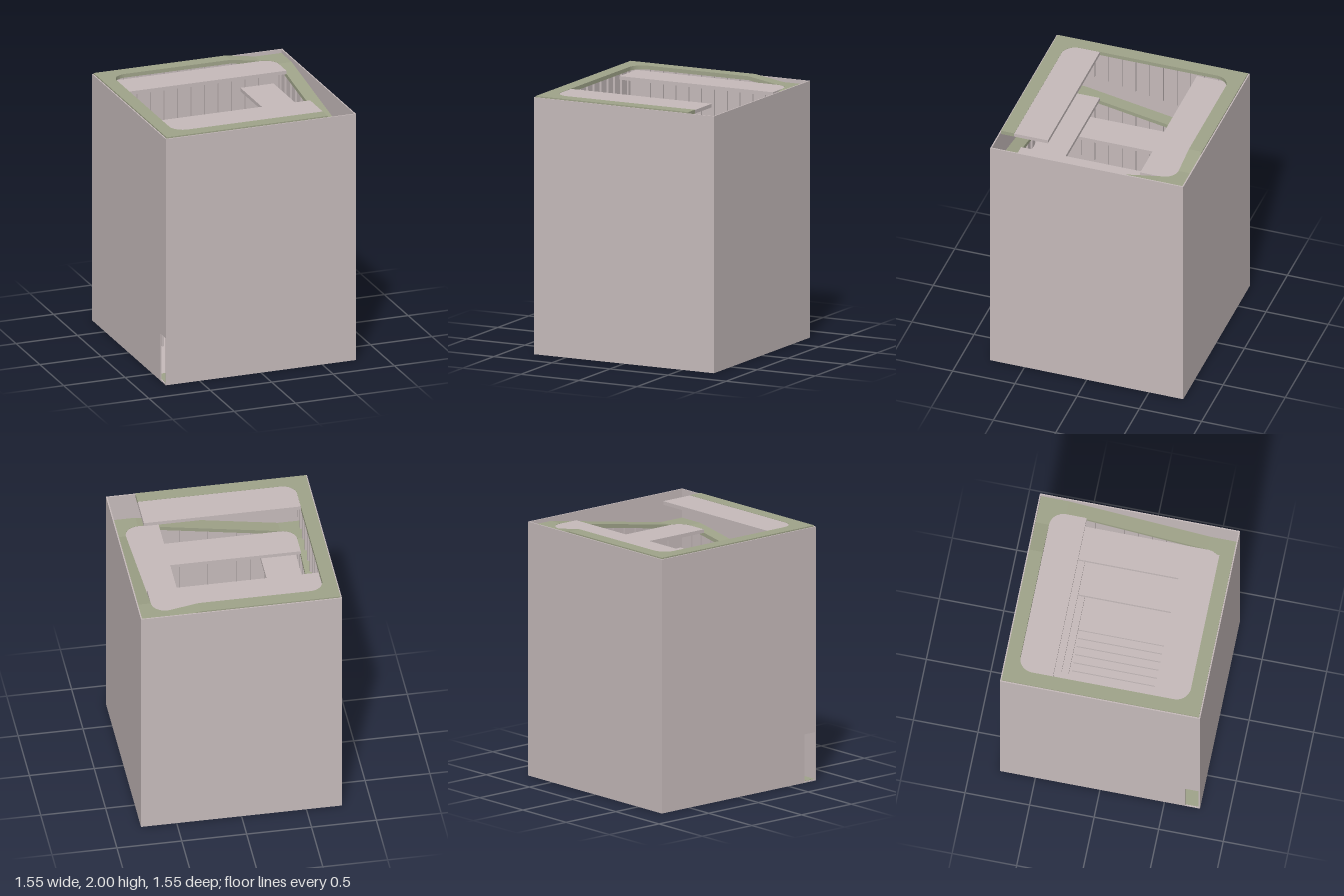
import * as THREE from 'three';

const OUT = 0.765, IN = 0.66, CORE = 0.39, BEND = 0.55;
const RISE = 0.195, THICK = 0.03, TOP = 2;
const level = (k) => 0.01 + RISE * k;

export function createModel() {
  const model = new THREE.Group();
  const stone = new THREE.MeshStandardMaterial({ color: 0xc5baba });
  stone.name = 'pale stone';
  const green = new THREE.MeshStandardMaterial({ color: 0x9fa389 });
  green.name = 'path green';

  const add = (parent, name, geo, mat) => {
    const mesh = new THREE.Mesh(geo, mat);
    mesh.name = name;
    parent.add(mesh);
    return mesh;
  };
  // box given by its minimum and maximum corners
  const box = (parent, name, mat, x0, x1, y0, y1, z0, z1) => {
    const mesh = add(parent, name, new THREE.BoxGeometry(x1 - x0, y1 - y0, z1 - z0), mat);
    mesh.position.set((x0 + x1) / 2, (y0 + y1) / 2, (z0 + z1) / 2);
    return mesh;
  };
  // flat plate from a plan outline, with its upper face at y
  const plate = (parent, name, shape, y, depth) => {
    const geo = new THREE.ExtrudeGeometry(shape, { depth, bevelEnabled: false, curveSegments: 8 });
    geo.rotateX(Math.PI / 2);
    add(parent, name, geo, green).position.y = y;
  };
  // sloping strip along the wall
  const slope = (parent, u0, y0, u1, y1) => {
    const shape = new THREE.Shape([
      new THREE.Vector2(u0, Math.max(0.001, y0 - THICK)),
      new THREE.Vector2(u1, y1 - THICK),
      new THREE.Vector2(u1, y1),
      new THREE.Vector2(u0, y0),
    ]);
    const geo = new THREE.ExtrudeGeometry(shape, { depth: OUT - IN, bevelEnabled: false });
    geo.translate(0, 0, IN);
    add(parent, 'ramp', geo, green);
  };

  // outer shell, with a low doorway at the front end of the -x wall
  const W = 0.775, H = 1.99, DOOR = 0.38;
  box(model, 'groundFloor', stone, -W, W, 0, 0.01, -W, W);
  box(model, 'frontWall', stone, -W, W, 0, H, OUT, W);
  box(model, 'backWall', stone, -W, W, 0, H, -W, -OUT);
  box(model, 'rightWall', stone, OUT, W, 0, H, -OUT, OUT);
  box(model, 'leftWall', stone, -W, -OUT, 0, H, -OUT, IN);
  box(model, 'leftWallAboveDoor', stone, -W, -OUT, DOOR, H, IN, OUT);

  // corner landing outline, rounded on its inner side
  const corner = new THREE.Shape();
  corner.moveTo(BEND, IN);
  corner.lineTo(BEND, OUT);
  corner.lineTo(OUT, OUT);
  corner.lineTo(OUT, BEND);
  corner.lineTo(IN, BEND);
  corner.absarc(BEND, BEND, IN - BEND, 0, Math.PI / 2, false);

  // square spiral: each side is the front side turned a further quarter
  const postGeo = new THREE.BoxGeometry(0.016, 1, 0.016);
  for (let k = 0; k <= 11; k++) {
    const side = new THREE.Group();
    side.name = 'spiralSide';
    side.rotation.y = k * Math.PI / 2;
    model.add(side);
    const y0 = level(k);

    if (k < 10) {
      slope(side, -BEND, y0, BEND, level(k + 1));
      plate(side, 'cornerLanding', corner, level(k + 1), THICK);
    } else if (k === 10) {
      slope(side, -BEND, y0, -0.31, TOP);
    }
    // level floor beside the ramp
    if (k > 0 && k < 11) {
      box(side, 'innerFloor', stone, -IN, IN, y0 - THICK, y0 - 0.002, CORE, IN);
    }
    // thin posts below the inner edge of the ramp
    for (let i = 0; i <= 10; i++) {
      const u = -BEND + i * 0.11;
      const nominal = y0 + RISE * i / 10;
      const top = Math.min(nominal, TOP) - 0.015;
      const bottom = Math.max(0.005, nominal - 0.58);
      if (top - bottom < 0.02) continue;
      const post = add(side, 'post', postGeo, stone);
      post.scale.y = top - bottom;
      post.position.set(u, (top + bottom) / 2, IN + 0.01);
    }
  }

  // landing just inside the doorway
  const entry = new THREE.Group();
  entry.name = 'entry';
  entry.rotation.y = -Math.PI / 2;
  model.add(entry);
  plate(entry, 'entryLanding', corner, 0.013, 0.008);

  // level path at the top, ending where the spiral reaches it
  const r = IN - BEND;
  const rim = new THREE.Shape();
  rim.moveTo(BEND, OUT);
  rim.lineTo(-OUT, OUT);
  rim.lineTo(-OUT, -OUT);
  rim.lineTo(0.31, -OUT);
  rim.lineTo(0.31, -IN);
  rim.lineTo(-BEND, -IN);
  rim.absarc(-BEND, -BEND, r, -Math.PI / 2, -Math.PI, true);
  rim.lineTo(-IN, BEND);
  rim.absarc(-BEND, BEND, r, Math.PI, Math.PI / 2, true);
  rim.lineTo(BEND, IN);
  plate(model, 'topPath', rim, TOP, THICK);
  box(model, 'topFloor', stone, -IN, BEND, TOP - THICK, TOP - 0.002, CORE, IN);

  // steps from the lowest inner floor down to the ground
  const STEPS = 8, start = -0.08, run = (CORE - start) / STEPS;
  for (let i = 0; i < STEPS; i++) {
    const x = start + i * run;
    box(model, 'step', stone, x, x + run, 0.005, 0.01 + (i + 1) * RISE / (STEPS + 1), -CORE, CORE);
  }
  return model;
}
